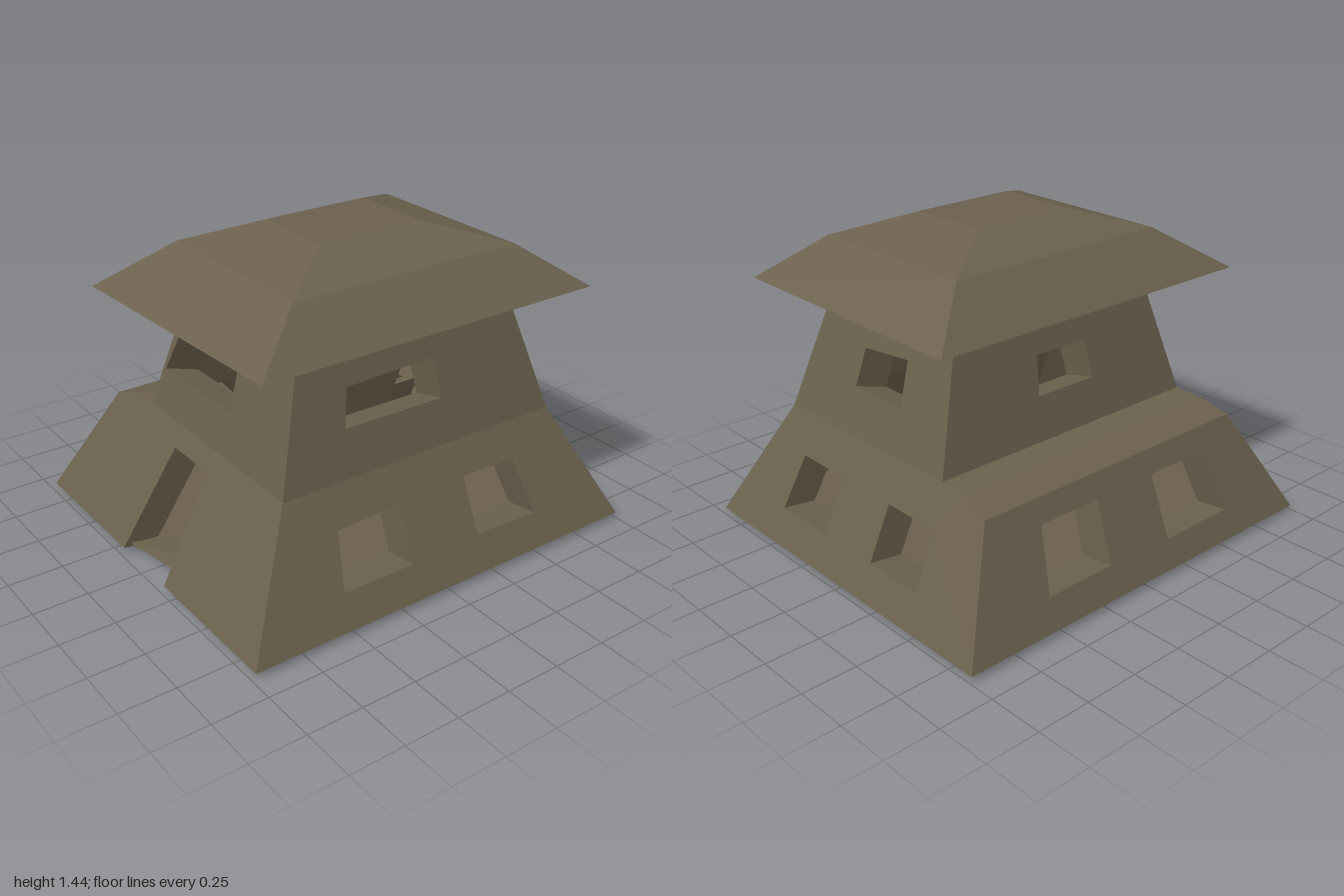
import * as THREE from 'three';
import { ConvexGeometry } from 'three/addons/geometries/ConvexGeometry.js';

const clay = new THREE.MeshStandardMaterial({ color: 0x6b604d, side: THREE.DoubleSide, flatShading: true });
clay.name = 'clay';

const vectors = (pts) => pts.map(([x, y]) => new THREE.Vector2(x, y));

function mesh(geometry, name) {
  const m = new THREE.Mesh(geometry, clay);
  m.name = name;
  return m;
}

// Loft equal-sized rings of [x, y, z] points into flat quads
function loft(rings, closed = true) {
  const pos = [], n = rings[0].length;
  for (let r = 0; r < rings.length - 1; r++) {
    for (let i = 0; i < (closed ? n : n - 1); i++) {
      const a = rings[r][i], b = rings[r][(i + 1) % n];
      const c = rings[r + 1][(i + 1) % n], d = rings[r + 1][i];
      pos.push(...a, ...b, ...c, ...a, ...c, ...d);
    }
  }
  const g = new THREE.BufferGeometry();
  g.setAttribute('position', new THREE.Float32BufferAttribute(pos, 3));
  g.computeVertexNormals();
  return g;
}

// Sloping wall facing +z: depth runs from d0 at height y0 to d1 at height y1
function wall(name, [y0, d0, y1, d1], outline, windows = [], drop = 0.02, door = null) {
  const g = new THREE.Group();
  g.name = name;
  const depth = (y) => d0 + ((d1 - d0) * (y - y0)) / (y1 - y0);
  const shape = new THREE.Shape(vectors(outline));
  windows.forEach((w) => shape.holes.push(new THREE.Path(vectors(w))));
  const face = new THREE.ShapeGeometry(shape);
  const p = face.attributes.position;
  for (let i = 0; i < p.count; i++) p.setZ(i, depth(p.getY(i)));
  face.computeVertexNormals();
  g.add(mesh(face, name + 'Face'));
  // reveals running inward from each opening
  const reveal = (pts, closed, label) => {
    const inner = pts.map(([x, y]) => [x, y - drop, depth(y) - 0.16]);
    const outer = pts.map(([x, y]) => [x, y, depth(y)]);
    g.add(mesh(loft([inner, outer], closed), label));
  };
  windows.forEach((w) => reveal(w, true, 'windowReveal'));
  if (door) reveal(door, false, 'doorReveal');
  return g;
}

function side(name, angle, walls) {
  const g = new THREE.Group();
  g.name = name;
  g.add(...walls);
  g.rotation.y = angle;
  return g;
}

// Rectangular ring, counter-clockwise seen from above
const ring = (x0, x1, z0, z1, y) => [[x0, y, z1], [x1, y, z1], [x1, y, z0], [x0, y, z0]];

export function createModel() {
  const model = new THREE.Group();
  model.name = 'house';

  // Front with doorway
  const door = [[-0.18, 0.03], [-0.12, 0.48], [0.15, 0.48], [0.18, 0.03]];
  model.add(side('front', 0, [
    wall('frontLower', [0.03, 0.985, 0.56, 0.69],
      [[-0.88, 0.03], ...door, [0.89, 0.03], [0.65, 0.56], [-0.4, 0.57], [-0.54, 0.565], [-0.68, 0.52]],
      [], 0.02, door),
    wall('frontUpper', [0.56, 0.69, 1.12, 0.54],
      [[-0.4, 0.57], [0.65, 0.56], [0.54, 1.12], [-0.28, 1.12]],
      [[[-0.34, 0.75], [0.19, 0.75], [0.185, 0.93], [-0.28, 0.925]]], 0.05),
  ]));

  // Side on +x
  model.add(side('leftSide', Math.PI / 2, [
    wall('leftLower', [0.03, 0.89, 0.56, 0.65],
      [[-0.985, 0.03], [0.995, 0.03], [0.73, 0.56], [-0.69, 0.56]],
      [[[-0.52, 0.17], [-0.17, 0.17], [-0.16, 0.405], [-0.48, 0.395]],
        [[0.19, 0.18], [0.52, 0.17], [0.47, 0.41], [0.19, 0.415]]]),
    wall('leftUpper', [0.56, 0.65, 1.12, 0.54],
      [[-0.69, 0.56], [0.73, 0.56], [0.55, 1.12], [-0.54, 1.12]],
      [[[-0.36, 0.765], [0.14, 0.76], [0.115, 0.94], [-0.33, 0.93]]], 0.04),
  ]));

  // Back
  model.add(side('back', Math.PI, [
    wall('backLower', [0.03, 0.995, 0.56, 0.73],
      [[-0.89, 0.03], [0.88, 0.03], [0.68, 0.52], [0.54, 0.565], [0.4, 0.57], [-0.65, 0.56]],
      [[[-0.48, 0.17], [-0.16, 0.17], [-0.17, 0.4], [-0.46, 0.4]],
        [[0.16, 0.17], [0.47, 0.17], [0.43, 0.4], [0.15, 0.4]]]),
    wall('backUpper', [0.56, 0.73, 1.12, 0.55],
      [[-0.65, 0.56], [0.4, 0.57], [0.28, 1.12], [-0.54, 1.12]],
      [[[-0.25, 0.76], [0.06, 0.76], [0.04, 0.95], [-0.24, 0.925]]], 0.05),
  ]));

  // Side on -x, stepped by a shoulder
  model.add(side('rightSide', -Math.PI / 2, [
    wall('rightLower', [0.03, 0.88, 0.52, 0.68],
      [[-0.995, 0.03], [0.985, 0.03], [0.713, 0.52], [-0.75, 0.52]],
      [[[-0.54, 0.16], [-0.19, 0.16], [-0.17, 0.42], [-0.49, 0.42]],
        [[0.16, 0.15], [0.55, 0.15], [0.5, 0.42], [0.16, 0.42]]]),
    wall('shoulderSlope', [0.52, 0.68, 0.565, 0.54],
      [[-0.75, 0.52], [0.713, 0.52], [0.688, 0.565], [-0.728, 0.565]]),
    wall('shoulderTop', [0.565, 0.54, 0.57, 0.4],
      [[-0.728, 0.565], [0.688, 0.565], [0.686, 0.57], [-0.726, 0.57]]),
    wall('rightUpper', [0.57, 0.4, 1.12, 0.28],
      [[-0.726, 0.57], [0.686, 0.57], [0.54, 1.12], [-0.55, 1.12]],
      [[[-0.16, 0.76], [0.16, 0.76], [0.14, 0.93], [-0.14, 0.93]]], 0.04),
  ]));

  // Floor slab notched at the doorway
  const floor = new THREE.ShapeGeometry(new THREE.Shape(vectors([
    [-0.88, -0.985], [-0.18, -0.985], [-0.18, -0.95], [0.02, -0.885], [0.17, -0.89], [0.18, -0.985],
    [0.89, -0.985], [0.89, 0.995], [-0.88, 0.995]])));
  floor.rotateX(-Math.PI / 2).translate(0, 0.03, 0);
  model.add(mesh(floor, 'floor'));

  // Tilted doorstep dipping below the floor
  const step = [[-0.18, 0.045, 0.95], [-0.16, 0, 0.82], [0.17, 0.03, 0.88], [-0.15, 0.03, 0.76], [0.16, 0.04, 0.76]];
  model.add(mesh(new ConvexGeometry(step.map((v) => new THREE.Vector3(...v))), 'doorstep'));

  // Inner pillar and partition
  const pillar = mesh(new THREE.CylinderGeometry(0.35, 0.03, 1.07, 4, 1).rotateY(Math.PI / 4), 'innerPillar');
  pillar.position.set(0.1, 0.57, -0.02);
  const partition = mesh(new THREE.BoxGeometry(0.03, 0.4, 0.46), 'innerPartition');
  partition.position.set(-0.15, 0.28, -0.35);
  partition.rotation.z = -0.3;
  model.add(pillar, partition);

  // Hipped roof with overhanging eaves
  const eaves = [[-0.51, 1.14, 0.88], [0.77, 1.155, 0.85], [0.77, 1.155, -0.815], [-0.505, 1.14, -0.805]];
  const ridge = ring(-0.07, 0.32, -0.24, 0.27, 1.44);
  model.add(mesh(loft([
    ring(0.13, 0.13, 0, 0, 1.11),
    ring(-0.28, 0.54, -0.55, 0.54, 1.11),
    eaves,
    ring(-0.3, 0.565, -0.555, 0.575, 1.342),
    ridge,
    ring(0.125, 0.125, 0.015, 0.015, 1.44),
  ]), 'roof'));

  return model;
}
